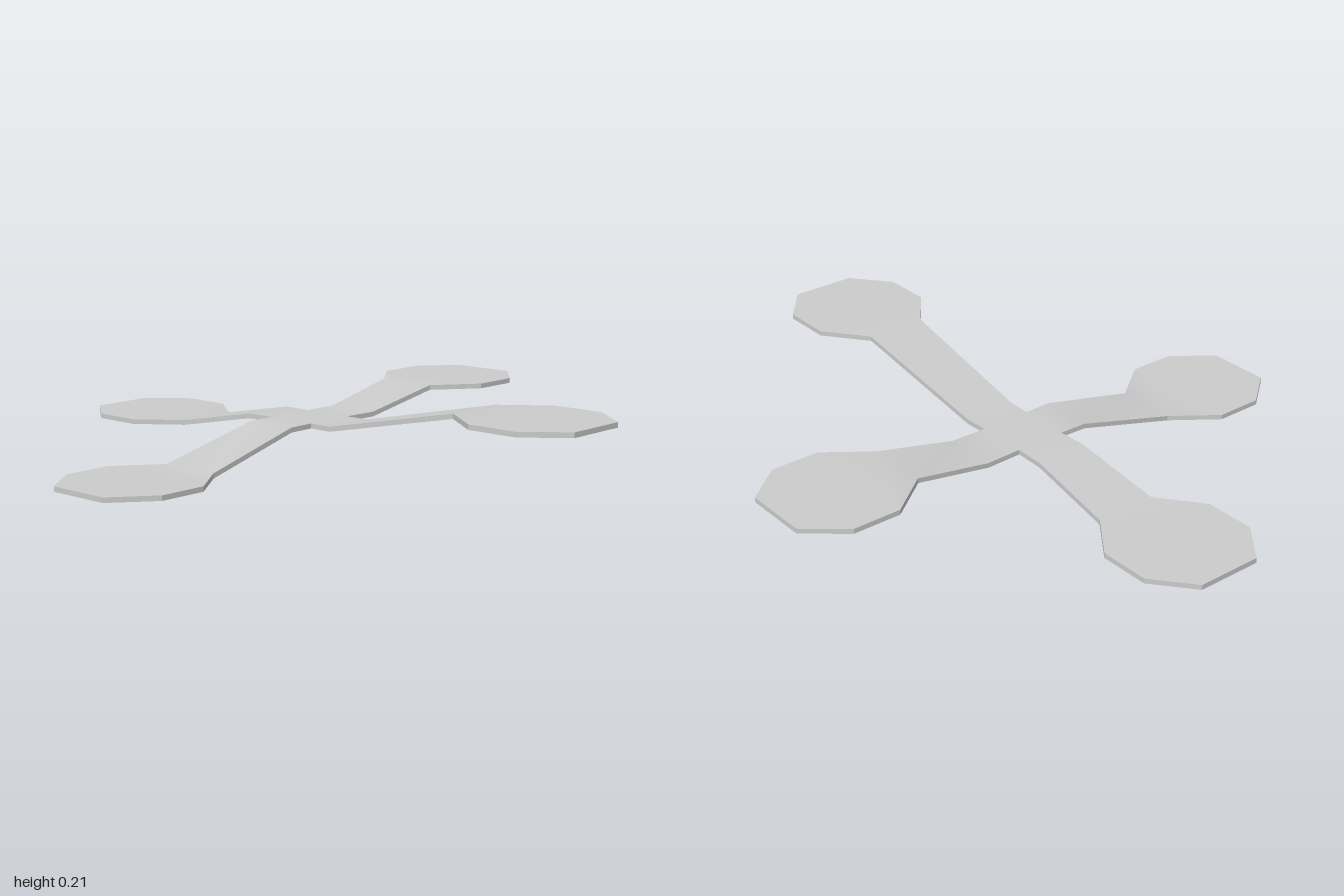
import * as THREE from 'three';
import { toCreasedNormals } from 'three/addons/utils/BufferGeometryUtils.js';

const CX = -0.095, CZ = -0.027;   // centre of the cross
const HUB_Y = 0.096, T = 0.008;   // hub height and half thickness
const HALF = 0.085;               // half width of the hub

// One bent arm with an eight-sided paddle, lofted along its direction.
// kinks: positions of the bends and paddle corners along the axis, measured from the origin
function armGeometry(fx, fz, kinks, paddleY) {
  const start = fx * CX + fz * CZ + HALF;
  const [bend, neck, wide, shoulder, tip] = kinks;
  const stations = [
    [start, HALF, HUB_Y],
    [bend, 0.088, HUB_Y],
    [neck, 0.102, paddleY],
    [wide, 0.209, paddleY],
    [shoulder, 0.209, paddleY],
    [tip, 0.107, paddleY],
  ];
  const rings = stations.map(([s, w, y]) =>
    [[-1, 1], [1, 1], [1, -1], [-1, -1]].map(([side, up]) => [
      fx * s + fz * w * side + (fx ? 0 : CX),
      y + up * T,
      fz * s - fx * w * side + (fz ? 0 : CZ),
    ]));
  const pos = [];
  const quad = (a, b, c, d) => pos.push(...a, ...b, ...c, ...a, ...c, ...d);
  for (let i = 0; i < rings.length - 1; i++) {
    for (let j = 0; j < 4; j++) {
      const k = (j + 1) % 4;
      quad(rings[i][j], rings[i + 1][j], rings[i + 1][k], rings[i][k]);
    }
  }
  const end = rings[rings.length - 1];
  quad(end[3], end[2], end[1], end[0]);
  const geo = new THREE.BufferGeometry();
  geo.setAttribute('position', new THREE.Float32BufferAttribute(pos, 3));
  // soft bends, sharp rims
  return toCreasedNormals(geo, Math.PI / 9);
}

export function createModel() {
  const group = new THREE.Group();
  group.name = 'crossWithPaddles';
  const material = new THREE.MeshStandardMaterial({ color: 0xcccccc });

  const add = (name, geometry) => {
    const mesh = new THREE.Mesh(geometry, material);
    mesh.name = name;
    group.add(mesh);
    return mesh;
  };

  // Flat square where the arms meet
  add('hub', new THREE.BoxGeometry(HALF * 2, T * 2, HALF * 2)).position.set(CX, HUB_Y, CZ);

  // Four arms, each ending at its own height
  add('leftArm', armGeometry(1, 0, [0.07, 0.57, 0.71, 0.875, 1], 0.2));
  add('rightArm', armGeometry(-1, 0, [0.28, 0.57, 0.71, 0.875, 1], 0.04));
  add('frontArm', armGeometry(0, 1, [0.15, 0.5, 0.643, 0.803, 0.933], T));
  add('backArm', armGeometry(0, -1, [0.235, 0.508, 0.65, 0.81, 0.933], 0.152));

  return group;
}
